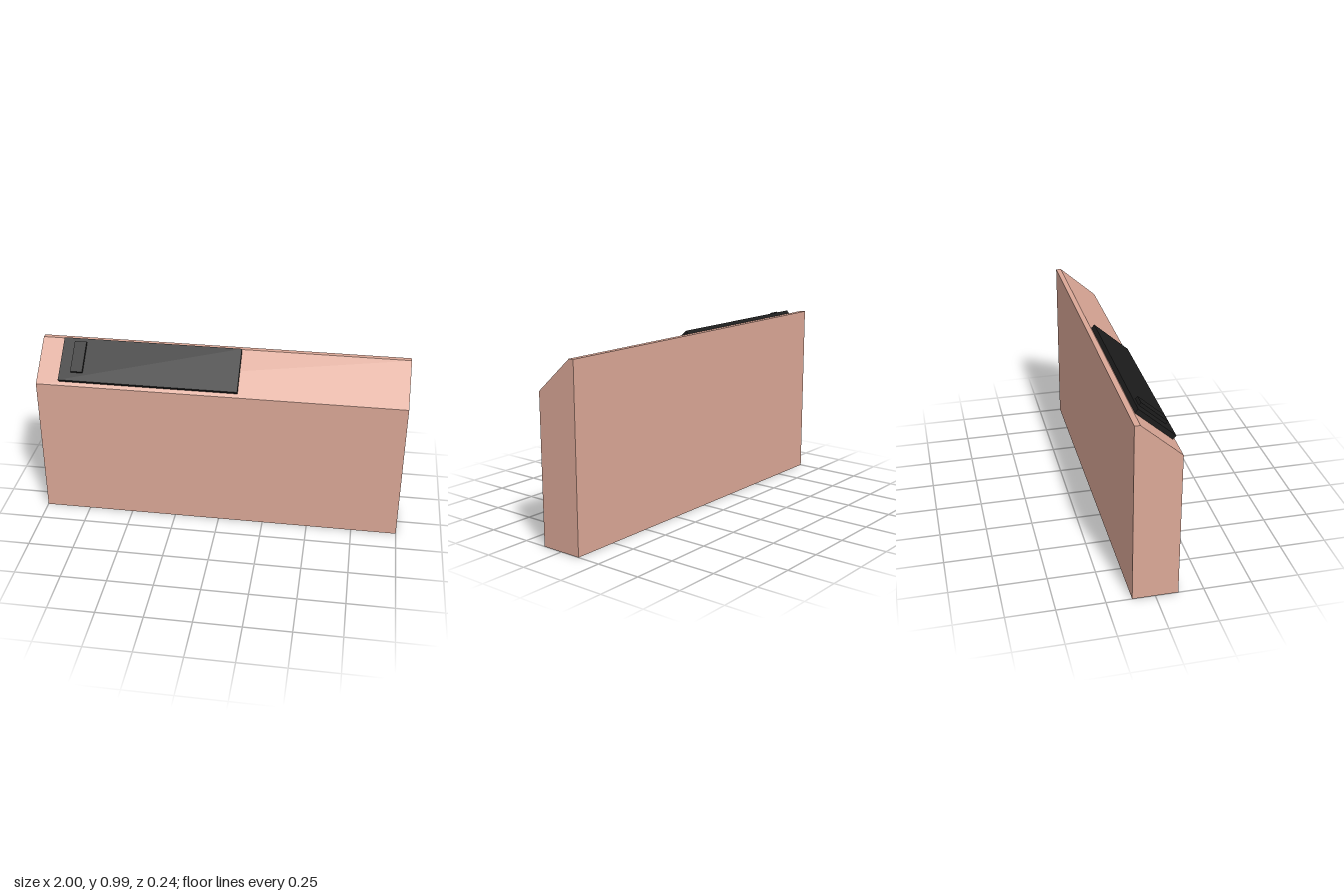
import * as THREE from 'three';

const HALF_DEPTH = 0.118, FRONT_HEIGHT = 0.795, TOP = 0.978, RIDGE_Z = -0.09;

export function createModel() {
  const group = new THREE.Group();
  const wallMaterial = new THREE.MeshStandardMaterial({ color: 0xdba897, flatShading: true });
  const darkMaterial = new THREE.MeshStandardMaterial({ color: 0x1c1c1c, flatShading: true });

  // Long block with a sloped front top edge; profile drawn with x = -z
  const profile = new THREE.Shape([
    [-HALF_DEPTH, 0], [HALF_DEPTH, 0], [HALF_DEPTH, TOP], [-RIDGE_Z, TOP], [-HALF_DEPTH, FRONT_HEIGHT],
  ].map(([x, y]) => new THREE.Vector2(x, y)));
  const bodyGeometry = new THREE.ExtrudeGeometry(profile, { depth: 2, bevelEnabled: false });
  bodyGeometry.rotateY(Math.PI / 2).translate(-1, 0, 0);
  const body = new THREE.Mesh(bodyGeometry, wallMaterial);
  body.name = 'slopedBlock';
  group.add(body);

  // Frame lying on the slope: y points out of it, -z runs up it
  const slope = new THREE.Group();
  slope.name = 'slopeFittings';
  slope.position.set(0, FRONT_HEIGHT, HALF_DEPTH);
  slope.rotation.x = Math.atan2(TOP - FRONT_HEIGHT, HALF_DEPTH - RIDGE_Z);
  group.add(slope);

  // Slab on the slope, from x0 to x1, s0 to s1 up the slope, t0 to t1 outwards
  const addSlab = (name, x0, x1, s0, s1, t0, t1) => {
    const mesh = new THREE.Mesh(new THREE.BoxGeometry(x1 - x0, t1 - t0, s1 - s0), darkMaterial);
    mesh.position.set((x0 + x1) / 2, (t0 + t1) / 2, -(s0 + s1) / 2);
    mesh.name = name;
    slope.add(mesh);
  };
  addSlab('panel', -0.875, 0.1, 0.023, 0.271, 0, 0.025);
  addSlab('raisedBar', -0.81, -0.745, 0.07, 0.247, 0.02, 0.042);

  return group;
}
